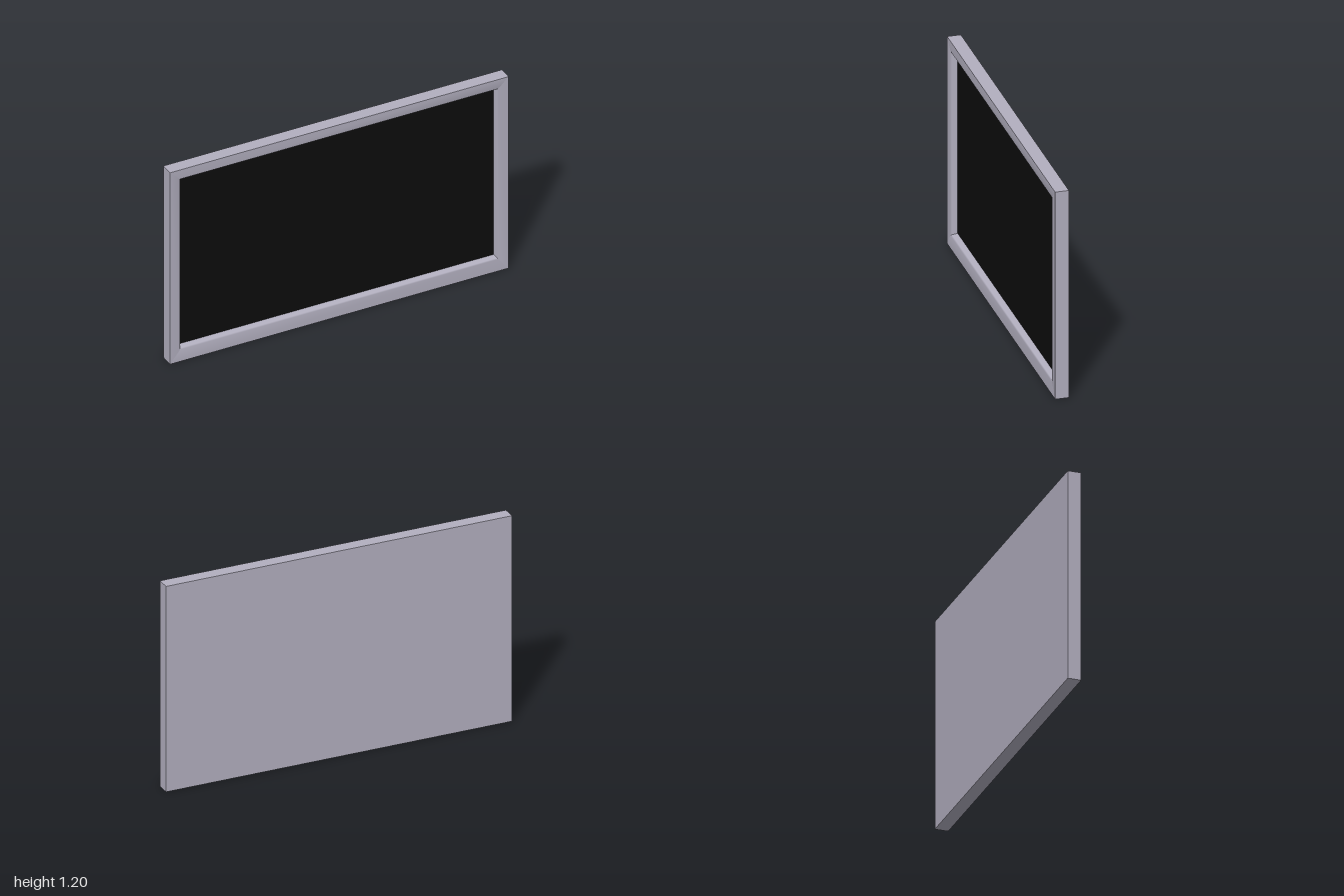
import * as THREE from 'three';

const DEPTH = 0.0375; // half the thickness

// Cross-section rectangles: [half width, bottom, top, z]
const BACK = [1, 0, 1.2, -DEPTH];
const FRONT = [1, 0, 1.2, DEPTH];
const LIP = [0.94, 0.074, 1.143, DEPTH];
const BEVEL = [0.936, 0.079, 1.137, 0.03];
const SEAT = [0.931, 0.085, 1.127, 0];

const corners = ([w, b, t, z]) => [[-w, b, z], [w, b, z], [w, t, z], [-w, t, z]];

// Joins rectangles into four mitred sides, smooth along the profile and sharp at the corners
function mitredBand(rects) {
  const rings = rects.map(corners);
  const pos = [], index = [];
  for (let side = 0; side < 4; side++) {
    const base = pos.length / 3;
    rings.forEach((ring, j) => {
      pos.push(...ring[side], ...ring[(side + 1) % 4]);
      if (j === 0) return;
      const a = base + (j - 1) * 2;
      index.push(a, a + 1, a + 3, a, a + 3, a + 2);
    });
  }
  const geo = new THREE.BufferGeometry();
  geo.setAttribute('position', new THREE.Float32BufferAttribute(pos, 3));
  geo.setIndex(index);
  geo.computeVertexNormals();
  return geo;
}

// Flat rectangle facing the front
function panel([w, b, t, z]) {
  return new THREE.PlaneGeometry(w * 2, t - b).translate(0, (b + t) / 2, z);
}

export function createModel() {
  const frameMat = new THREE.MeshStandardMaterial({ color: 0xb2afbf });
  frameMat.name = 'lavender grey casing';
  const screenMat = new THREE.MeshStandardMaterial({ color: 0x0d0d0d });
  screenMat.name = 'black screen';

  const group = new THREE.Group();
  group.name = 'flatScreen';
  const add = (name, geo, mat) => {
    const mesh = new THREE.Mesh(geo, mat);
    mesh.name = name;
    group.add(mesh);
  };

  add('casingSides', mitredBand([BACK, FRONT]), frameMat);
  add('frontBezel', mitredBand([FRONT, LIP, BEVEL, SEAT]), frameMat);
  add('backPanel', panel([1, 0, 1.2, DEPTH]).rotateY(Math.PI), frameMat);
  add('screen', panel(SEAT), screenMat);

  return group;
}
